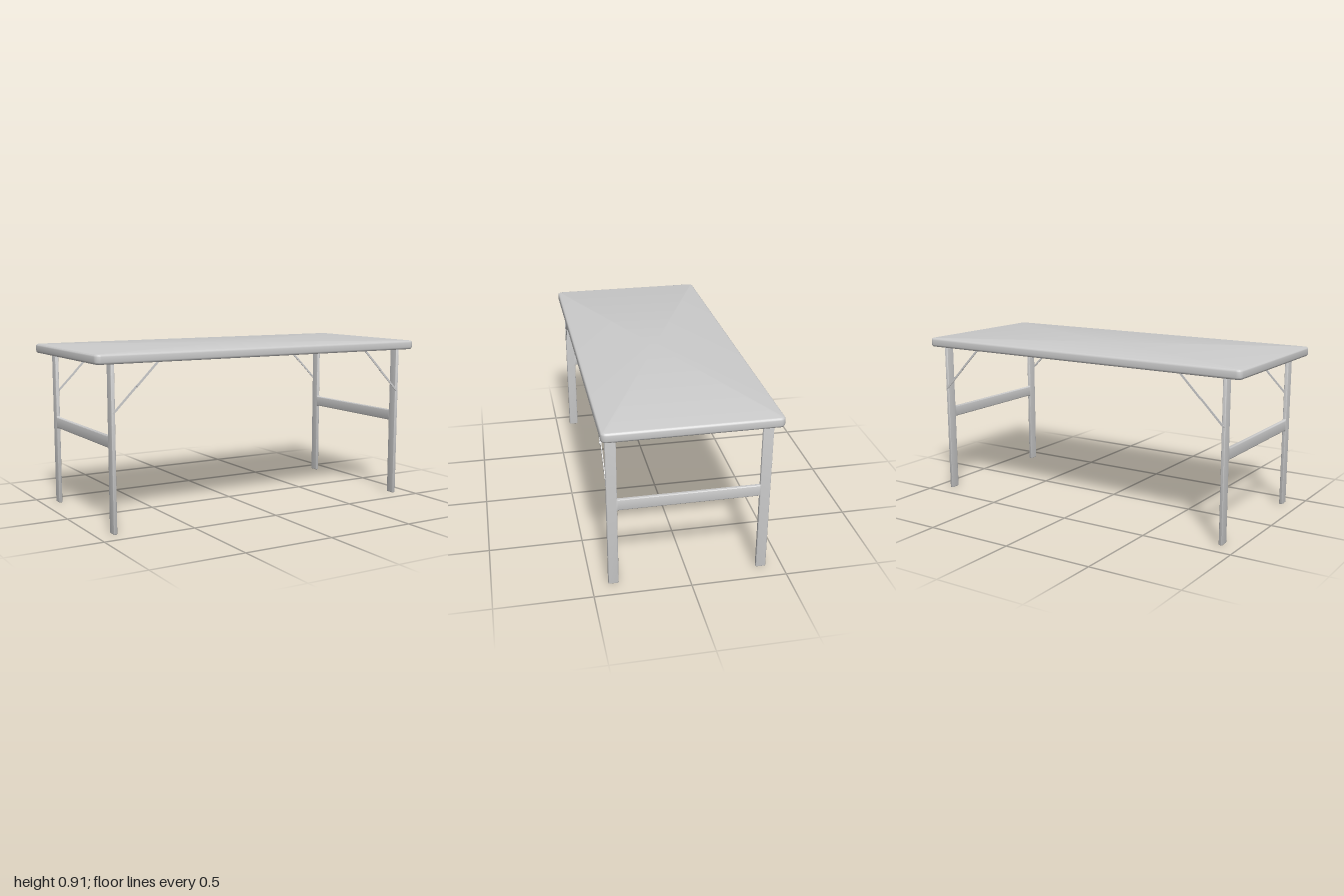
import * as THREE from 'three';
import { toCreasedNormals } from 'three/addons/utils/BufferGeometryUtils.js';

const material = new THREE.MeshStandardMaterial({ color: 0xcccccc });

function addMesh(parent, name, geometry) {
  const mesh = new THREE.Mesh(geometry, material);
  mesh.name = name;
  parent.add(mesh);
  return mesh;
}

// Rounded rectangle in plan, pulled in by `inset`
function planLoop(halfX, halfZ, radius, inset, steps) {
  const r = Math.max(radius - inset, 0.005);
  const cx = halfX - inset - r, cz = halfZ - inset - r;
  const points = [];
  [[1, 1], [-1, 1], [-1, -1], [1, -1]].forEach(([sx, sz], corner) => {
    for (let i = 0; i <= steps; i++) {
      const a = (corner + i / steps) * Math.PI / 2;
      points.push([sx * cx + r * Math.cos(a), sz * cz + r * Math.sin(a)]);
    }
  });
  return points;
}

// Moulded top: rounded slab with a lip and a hollow underside
function tabletopGeometry() {
  const profile = [ // inset from the edge, height
    [0.012, 0.908], [0.006, 0.9065], [0.0015, 0.902], [0, 0.896],
    [0, 0.87], [0.0015, 0.864], [0.005, 0.86], [0.01, 0.858],
    [0.016, 0.858], [0.02, 0.861], [0.022, 0.866], [0.022, 0.886],
  ];
  const steps = 5, count = 4 * (steps + 1);
  const positions = [], index = [];
  for (const [inset, y] of profile) {
    for (const [x, z] of planLoop(1, 0.443, 0.028, inset, steps)) positions.push(x, y, z);
  }
  const topCentre = profile.length * count, underCentre = topCentre + 1;
  positions.push(0, 0.908, 0, 0, 0.886, 0);
  const last = (profile.length - 1) * count;
  for (let i = 0; i < count; i++) {
    const j = (i + 1) % count;
    index.push(topCentre, j, i, underCentre, last + i, last + j);
    for (let k = 0; k < profile.length - 1; k++) {
      const a = k * count + i, b = k * count + j;
      index.push(a, b, a + count, b, b + count, a + count);
    }
  }
  const geometry = new THREE.BufferGeometry();
  geometry.setAttribute('position', new THREE.Float32BufferAttribute(positions, 3));
  geometry.setIndex(index);
  return toCreasedNormals(geometry, 0.7);
}

// Closed outline with every corner rounded off
function roundedOutline(corners, r) {
  const points = corners.map(([x, y]) => new THREE.Vector2(x, y));
  const shape = new THREE.Shape();
  points.forEach((p, i) => {
    const before = points[(i + points.length - 1) % points.length];
    const after = points[(i + 1) % points.length];
    const a = p.clone().add(before.clone().sub(p).setLength(r));
    const b = p.clone().add(after.clone().sub(p).setLength(r));
    if (i === 0) shape.moveTo(a.x, a.y);
    else shape.lineTo(a.x, a.y);
    shape.quadraticCurveTo(p.x, p.y, b.x, b.y);
  });
  shape.closePath();
  return shape;
}

// H-shaped end frame: two flat legs joined by a cross rail
function legFrameGeometry() {
  const out = 0.415, inn = 0.361, top = 0.888, low = 0.435, high = 0.496;
  const bevel = 0.005, thickness = 0.02;
  const shape = roundedOutline([
    [-out, 0], [-inn, 0], [-inn, low], [inn, low], [inn, 0], [out, 0],
    [out, top], [inn, top], [inn, high], [-inn, high], [-inn, top], [-out, top],
  ], 0.007);
  const geometry = new THREE.ExtrudeGeometry(shape, {
    depth: thickness - 2 * bevel, curveSegments: 4,
    bevelEnabled: true, bevelThickness: bevel, bevelSize: bevel, bevelOffset: -bevel, bevelSegments: 3,
  });
  geometry.translate(0, 0, bevel - thickness / 2).rotateY(Math.PI / 2);
  return toCreasedNormals(geometry, 0.7);
}

// Flat strap lying along a line in the x-y plane
function strap(parent, name, from, to, z) {
  const dx = to[0] - from[0], dy = to[1] - from[1];
  const mesh = addMesh(parent, name, new THREE.BoxGeometry(Math.hypot(dx, dy), 0.011, 0.004));
  mesh.position.set((from[0] + to[0]) / 2, (from[1] + to[1]) / 2, z);
  mesh.rotation.z = Math.atan2(dy, dx);
}

function rivet(parent, name, x, y, z, depth) {
  const mesh = addMesh(parent, name, new THREE.CylinderGeometry(0.005, 0.005, depth, 12));
  mesh.rotation.x = Math.PI / 2;
  mesh.position.set(x, y, z);
}

// Two-piece folding brace, side = +1 or -1 along x, face = +1 or -1 along z
function foldingBrace(side, face) {
  const brace = new THREE.Group();
  brace.name = 'foldingBrace';
  strap(brace, 'lowerStrap', [side * 0.905, 0.612], [side * 0.769, 0.748], face * 0.415);
  strap(brace, 'upperStrap', [side * 0.777, 0.74], [side * 0.635, 0.882], face * 0.419);
  rivet(brace, 'hingeRivet', side * 0.773, 0.744, face * 0.4175, 0.011);
  rivet(brace, 'legRivet', side * 0.9, 0.617, face * 0.413, 0.01);
  return brace;
}

export function createModel() {
  const table = new THREE.Group();
  table.name = 'foldingTable';
  addMesh(table, 'tabletop', tabletopGeometry());
  const frame = legFrameGeometry();
  for (const side of [-1, 1]) {
    addMesh(table, 'legFrame', frame).position.x = side * 0.902;
    for (const face of [-1, 1]) table.add(foldingBrace(side, face));
  }
  return table;
}
